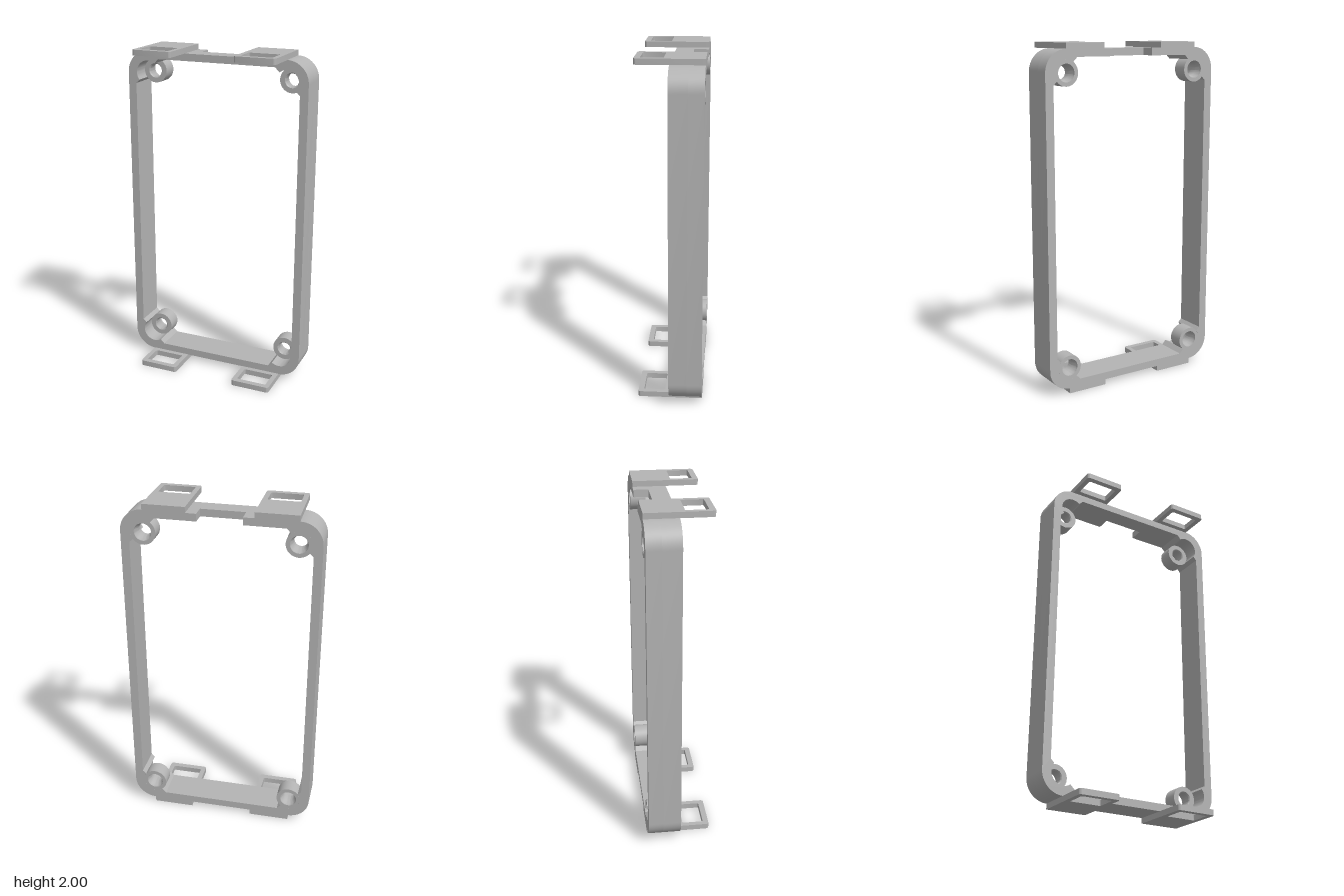
import * as THREE from 'three';
import { toCreasedNormals } from 'three/addons/utils/BufferGeometryUtils.js';

const CX = 0.43, CY = 0.84;          // corner centres
const BACK = -0.19, STEP = -0.105;   // back face and front of the rail notch
const NOTCH = 0.127;                 // half width of the notch in the top rail

// Contour counter-clockwise from the left end of the top notch round to its right end.
// corner(): points (outward u, v) running from the vertical wall to the horizontal wall.
function contour(topY, corner) {
  const pts = [new THREE.Vector2(-NOTCH, topY)];
  for (const [sx, sy] of [[-1, 1], [-1, -1], [1, -1], [1, 1]]) {
    const c = corner.map(([u, v]) => new THREE.Vector2(sx * (CX + u), sy * (CY + v)));
    if (sx * sy < 0) c.reverse();
    pts.push(...c);
  }
  pts.push(new THREE.Vector2(NOTCH, topY));
  return pts;
}

function arc(r, a0, a1, n) {
  const out = [];
  for (let i = 0; i <= n; i++) {
    const a = THREE.MathUtils.degToRad(a0 + (a1 - a0) * i / n);
    out.push([r * Math.cos(a), r * Math.sin(a)]);
  }
  return out;
}

function extrude(shape, z0, z1) {
  const g = new THREE.ExtrudeGeometry(shape, { depth: z1 - z0, bevelEnabled: false, curveSegments: 8 });
  g.translate(0, 0, z0);
  return toCreasedNormals(g, 0.5);
}

function roundedRect(path, x0, y0, x1, y1, r) {
  path.moveTo(x0 + r, y0);
  path.lineTo(x1 - r, y0);
  path.quadraticCurveTo(x1, y0, x1, y0 + r);
  path.lineTo(x1, y1 - r);
  path.quadraticCurveTo(x1, y1, x1 - r, y1);
  path.lineTo(x0 + r, y1);
  path.quadraticCurveTo(x0, y1, x0, y1 - r);
  path.lineTo(x0, y0 + r);
  path.quadraticCurveTo(x0, y0, x0 + r, y0);
  return path;
}

export function createModel() {
  const model = new THREE.Group();
  model.name = 'mountingFrame';
  const grey = new THREE.MeshStandardMaterial({ color: 0xb4b4b4 });
  grey.name = 'grey plastic';
  const add = (name, geometry) => {
    const m = new THREE.Mesh(geometry, grey);
    m.name = name;
    model.add(m);
    return m;
  };

  // Frame: rounded outside; inside corners have diagonal webs with a round pocket
  const outer = contour(0.967, arc(0.128, 0, 90, 16));
  const inner = contour(0.924, [[0.079, -0.065], ...arc(0.073, -37, 127, 28), [-0.069, 0.084]]);
  const ring = new THREE.Shape(outer);
  ring.holes.push(new THREE.Path(inner));
  add('frameFront', extrude(ring, STEP, 0)).position.y = 1;
  // Rear half is open at the notch in the top rail
  const open = new THREE.Shape([...outer, ...inner.slice().reverse()]);
  add('frameBack', extrude(open, BACK, STEP)).position.y = 1;

  // Screw bosses, countersunk from the back
  const profile = [[0.038, BACK + 0.04], [0.05, BACK + 0.015], [0.05, BACK], [0.073, BACK],
    [0.073, -0.1], [0.044, -0.1], [0.038, -0.106], [0.038, BACK + 0.04]];
  const boss = toCreasedNormals(
    new THREE.LatheGeometry(profile.map(([r, z]) => new THREE.Vector2(r, z)), 40), 0.5);
  boss.rotateX(Math.PI / 2);
  for (const sx of [-1, 1]) for (const sy of [-1, 1]) {
    add('screwBoss', boss).position.set(sx * CX, 1 + sy * CY, 0);
  }

  // Clip tabs on the top and bottom rails, with a window in front of the frame
  const T = 0.033;
  const tab = new THREE.Shape();
  tab.moveTo(-0.121, -BACK);
  tab.lineTo(-0.121, -0.17);
  tab.quadraticCurveTo(-0.121, -0.188, -0.103, -0.188);
  tab.lineTo(0.103, -0.188);
  tab.quadraticCurveTo(0.121, -0.188, 0.121, -0.17);
  tab.lineTo(0.121, -BACK);
  tab.closePath();
  tab.holes.push(roundedRect(new THREE.Path(), -0.092, -0.155, 0.092, -0.03, 0.01));
  const tabGeo = extrude(tab, 0, T);
  tabGeo.rotateX(-Math.PI / 2);
  for (const x of [-0.309, 0.309]) {
    add('topClipTab', tabGeo).position.set(x, 2 - T, 0);
    add('bottomClipTab', tabGeo).position.set(x, 0, 0);
  }
  return model;
}
